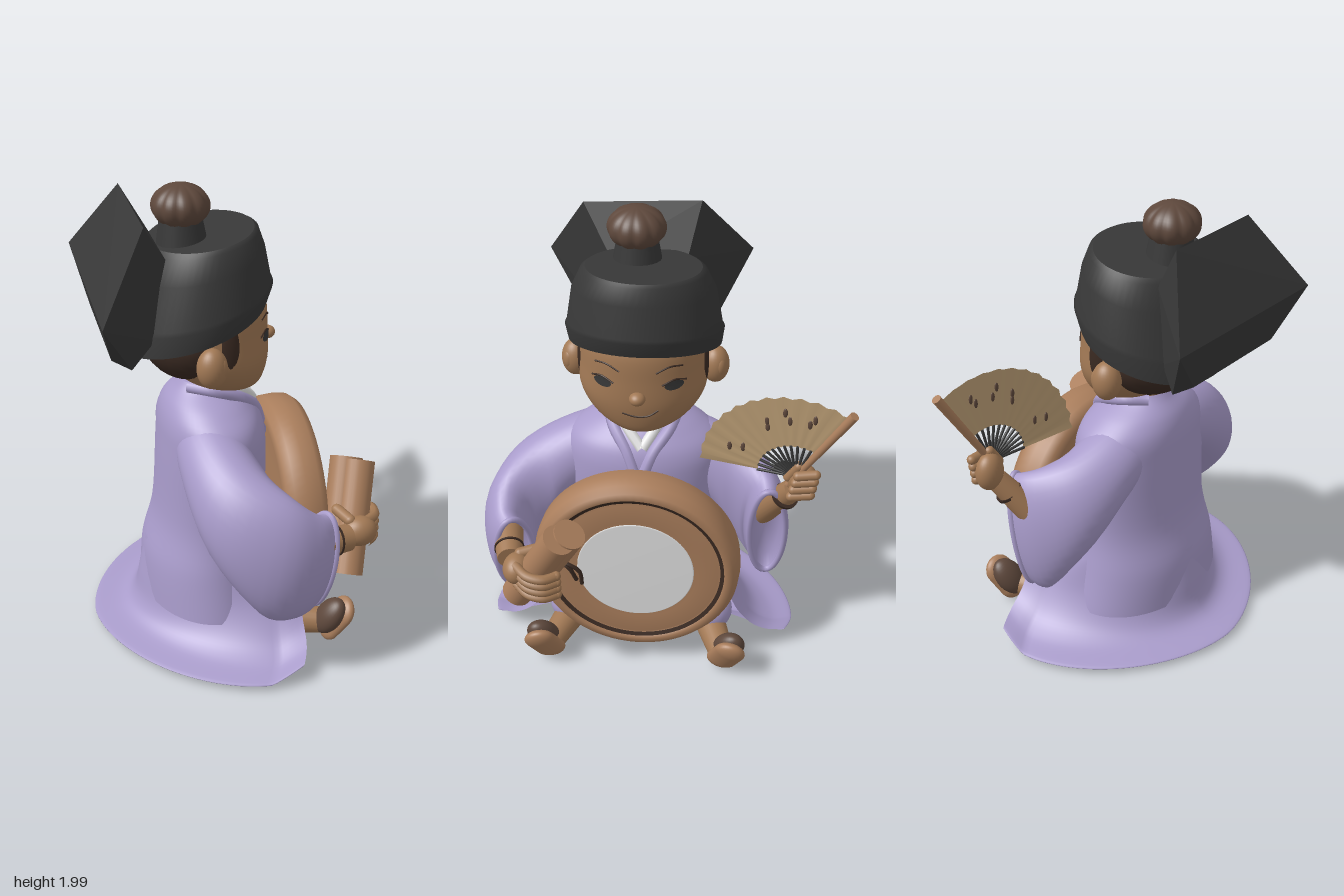
import * as THREE from 'three';
import { ConvexGeometry } from 'three/addons/geometries/ConvexGeometry.js';

const V = (x, y, z) => new THREE.Vector3(x, y, z);
const UP = V(0, 1, 0);
const ZC = 0.085; // middle of head, body and drum

export function createModel() {
  const model = new THREE.Group();
  const mat = (name, color, side = THREE.FrontSide) => {
    const m = new THREE.MeshStandardMaterial({ color, side });
    m.name = name;
    return m;
  };
  const robe = mat('lavender robe', 0xa99ccb, THREE.DoubleSide);
  const skin = mat('skin', 0xa27955);
  const wood = mat('wood', 0xaa7e5c);
  const black = mat('black cloth', 0x383838);
  const brown = mat('pompom brown', 0x5e483c);
  const dark = mat('dark brown', 0x3a2a22, THREE.DoubleSide);
  const white = mat('white', 0xe2e2e2);
  const paper = mat('fan paper', 0xbea077, THREE.DoubleSide);

  const add = (name, geo, material, parent = model) => {
    const m = new THREE.Mesh(geo, material);
    m.name = name;
    parent.add(m);
    return m;
  };
  const blob = (name, material, p, s, parent = model) => {
    const m = add(name, new THREE.SphereGeometry(1, 28, 20), material, parent);
    m.position.set(...p);
    m.scale.set(...s);
    return m;
  };
  // solid of revolution laid between two points
  const between = (name, material, a, b, make) => {
    const p = V(...a), q = V(...b), d = q.clone().sub(p);
    const m = add(name, make(d.length()), material);
    m.position.copy(p).lerp(q, 0.5);
    m.quaternion.setFromUnitVectors(UP, d.normalize());
    return m;
  };
  const rod = (name, material, a, b, ra, rb = ra) =>
    between(name, material, a, b, l => new THREE.CylinderGeometry(rb, ra, l, 24));
  const capsule = (name, material, a, b, r) =>
    between(name, material, a, b, l => new THREE.CapsuleGeometry(r, l, 8, 16));
  const tube = (name, material, pts, r, closed = false, n = 32) =>
    add(name, new THREE.TubeGeometry(new THREE.CatmullRomCurve3(pts, closed), n, r, 8, closed), material);

  // skin over rows of points
  const middle = row => row.reduce((s, p) => s.add(p), V(0, 0, 0)).divideScalar(row.length);
  const skinRows = (rows, closed = true, caps = false) => {
    const n = rows[0].length, pos = [], idx = [], last = (rows.length - 1) * n;
    rows.forEach(r => r.forEach(p => pos.push(p.x, p.y, p.z)));
    for (let i = 0; i < rows.length - 1; i++) for (let j = 0; j < (closed ? n : n - 1); j++) {
      const k = (j + 1) % n, a = i * n + j, b = i * n + k, c = a + n, d = b + n;
      idx.push(a, c, b, b, c, d);
    }
    if (caps) [0, rows.length - 1].forEach((r, e) => {
      const c = middle(rows[r]), o = pos.length / 3;
      pos.push(c.x, c.y, c.z);
      for (let j = 0; j < n; j++) {
        const a = e * last + j, b = e * last + (j + 1) % n;
        e ? idx.push(a, o, b) : idx.push(a, b, o);
      }
    });
    const g = new THREE.BufferGeometry();
    g.setAttribute('position', new THREE.Float32BufferAttribute(pos, 3));
    g.setIndex(idx);
    g.computeVertexNormals();
    return g;
  };
  // spline through rows of numbers
  const smooth = (rows, n) => {
    const cols = rows[0].map((_, c) => new THREE.SplineCurve(rows.map((r, i) => new THREE.Vector2(i, r[c]))));
    return Array.from({ length: n + 1 }, (_, i) => cols.map(c => c.getPoint(i / n).y));
  };
  // horizontal ellipse from [y, back x, front x, half width, tilt]
  const ring = ([y, x0, x1, rz, tilt = 0]) => Array.from({ length: 56 }, (_, j) => {
    const t = Math.PI * 2 * j / 56, dx = (x1 - x0) / 2 * Math.cos(t);
    return V((x0 + x1) / 2 + dx, y + tilt * dx, ZC + rz * Math.sin(t));
  });

  // robe body
  const bodyRows = smooth([[0.16, -0.37, 0.2, 0.41], [0.35, -0.36, 0.18, 0.37], [0.55, -0.31, 0.17, 0.34],
    [0.85, -0.29, 0.17, 0.35], [0.98, -0.28, 0.15, 0.33], [1.06, -0.255, 0.1, 0.24], [1.12, -0.21, 0.04, 0.13], [1.15, -0.19, 0.02, 0.1]], 40);
  add('robeBody', skinRows(bodyRows.map(ring)), robe);
  // skirt: folded hem narrowing to the back, open at the front where the edge lifts over the legs
  const bow = v => Math.sign(v) * Math.abs(v) ** 1.15;
  const skirt = smooth([[0.04, -0.28, 0.36, 0.4], [0.022, -0.5, 0.6, 0.62], [0.022, -0.56, 0.66, 0.67], [0.035, -0.582, 0.68, 0.692],
    [0.06, -0.46, 0.66, 0.6], [0.12, -0.405, 0.64, 0.51], [0.24, -0.38, 0.6, 0.43], [0.4, -0.35, 0.32, 0.36]], 42)
    .map(([y, x0, x1, rz]) => Array.from({ length: 64 }, (_, j) => {
      const t = 1.3 + (Math.PI * 2 - 2.6) * j / 63, c = Math.cos(t);
      return V((x0 + x1) / 2 + (x1 - x0) / 2 * bow(c), y + 0.2 * Math.max(0, c), ZC + rz * bow(Math.sin(t)));
    }));
  add('robeSkirt', skinRows(skirt, false), robe);
  blob('robeLap', robe, [0.08, 0.17, ZC], [0.2, 0.13, 0.38]);
  blob('trouserSeat', black, [-0.06, 0.135, ZC], [0.24, 0.105, 0.33]);

  // collar and neck
  rod('neck', skin, [-0.06, 1.02, ZC], [-0.05, 1.18, ZC], 0.1, 0.095);
  for (const s of [-1, 1]) {
    tube('innerCollar', white, [V(-0.06, 1.14, ZC + s * 0.11), V(0.05, 1.1, ZC + s * 0.07), V(0.125, 1.02, ZC - 0.01)], 0.024);
    tube('lapel', robe, [V(-0.17, 1.14, ZC + s * 0.08), V(-0.08, 1.14, ZC + s * 0.145), V(0.04, 1.09, ZC + s * 0.125),
      V(0.125, 1.0, ZC + s * 0.055), V(0.17, 0.86, ZC)], 0.026);
  }

  // legs and shoes
  for (const s of [-1, 1]) {
    const z = ZC + s * 0.41;
    capsule('trouserLeg', black, [-0.1, 0.13, ZC + s * 0.12], [0.12, 0.1, ZC + s * 0.29], 0.082);
    capsule('robeThigh', robe, [-0.08, 0.18, ZC + s * 0.16], [0.16, 0.16, ZC + s * 0.32], 0.1);
    rod('ankle', skin, [0.12, 0.1, ZC + s * 0.3], [0.37, 0.09, z - s * 0.025], 0.075, 0.055);
    const shoe = new THREE.Group();
    shoe.name = 'shoe';
    shoe.position.set(0.395, 0.118, z);
    shoe.rotation.set(s * 0.4, 0, -0.44);
    model.add(shoe);
    blob('shoeUpper', brown, [-0.03, 0.01, 0], [0.05, 0.1, 0.066], shoe);
    const sole = add('shoeSole', new THREE.CapsuleGeometry(0.069, 0.1, 10, 24), wood, shoe);
    sole.position.x = 0.015;
    sole.scale.set(0.5, 1, 1);
  }

  // sleeves from sections [x, y, z, half width, half height], with a hollow cuff
  const sleeve = (name, sections) => {
    const rows = smooth(sections, 24);
    const pts = rows.map(r => V(r[0], r[1], r[2]));
    const heading = i => pts[Math.min(i + 1, 24)].clone().sub(pts[Math.max(i - 1, 0)]).setY(0).normalize();
    const loops = rows.map((r, i) => {
      const t = heading(i), w = t.clone().cross(UP), u = V(0.18 * t.x, 1, 0);
      return Array.from({ length: 36 }, (_, j) => {
        const a = j / 36 * Math.PI * 2;
        return pts[i].clone().addScaledVector(w, r[3] * Math.cos(a)).addScaledVector(u, r[4] * Math.sin(a));
      });
    });
    tube(name + 'Hem', robe, loops[24], 0.014, true, 72);
    const inside = loops[24].map(p => p.clone().lerp(pts[24], 0.2).addScaledVector(heading(24), -0.06));
    add(name, skinRows([...loops, inside], true, true), robe);
  };
  sleeve('drumSideSleeve', [[-0.1, 0.96, 0.14, 0.13, 0.13], [-0.1, 0.86, 0.35, 0.15, 0.17], [-0.04, 0.71, 0.55, 0.17, 0.23],
    [0.08, 0.58, 0.66, 0.13, 0.27], [0.2, 0.52, 0.665, 0.1, 0.24], [0.27, 0.52, 0.63, 0.085, 0.21]]);
  sleeve('fanSideSleeve', [[-0.1, 0.96, 0.03, 0.13, 0.13], [-0.09, 0.87, -0.17, 0.15, 0.17], [-0.05, 0.74, -0.34, 0.15, 0.23],
    [0.04, 0.63, -0.45, 0.11, 0.28], [0.13, 0.61, -0.475, 0.08, 0.26]]);

  // drum, turned about the x axis
  const turned = (name, pts, material) => {
    const m = add(name, new THREE.LatheGeometry(pts.map(p => new THREE.Vector2(...p)), 72), material);
    m.rotation.z = -Math.PI / 2;
    m.position.set(0, 0.525, ZC);
    return m;
  };
  turned('drumShell', [[0, 0.185], [0.36, 0.185], [0.39, 0.17], [0.425, 0.18], [0.448, 0.21], [0.453, 0.265], [0.448, 0.32],
    [0.425, 0.352], [0.395, 0.358], [0.385, 0.345], [0.37, 0.335], [0.36, 0.345], [0.27, 0.345], [0.25, 0.338], [0, 0.338]], wood);
  turned('drumGroove', [[0.387, 0.349], [0.37, 0.342]], dark);
  turned('drumSkin', [[0.255, 0.343], [0.25, 0.347], [0, 0.347]], white);

  // head
  const headRows = smooth([[1.1, -0.02, 0.1, 0.05], [1.125, -0.1, 0.142, 0.13], [1.18, -0.2, 0.165, 0.215], [1.27, -0.27, 0.18, 0.268],
    [1.38, -0.3, 0.178, 0.27], [1.5, -0.3, 0.168, 0.26], [1.6, -0.28, 0.12, 0.22]], 40);
  add('head', skinRows(headRows.map(ring), true, true), skin);
  const onFace = (y, z, lift) => {
    const i = headRows.findIndex(r => r[0] >= y), a = headRows[i - 1], b = headRows[i], f = (y - a[0]) / (b[0] - a[0]);
    const [, x0, x1, rz] = a.map((v, c) => v + (b[c] - v) * f);
    return V((x0 + x1) / 2 + (x1 - x0) / 2 * Math.sqrt(Math.max(0, 1 - ((z - ZC) / rz) ** 2)) + lift, y, z);
  };
  for (const s of [-1, 1]) {
    const at = (y, dz, lift) => onFace(y, ZC + s * dz, lift);
    // eye as a thin face following the cheek
    const eye = new THREE.CircleGeometry(1, 24), p = eye.attributes.position;
    for (let i = 0; i < p.count; i++) {
      const q = onFace(1.37 + 0.022 * p.getY(i), ZC + s * 0.148 - 0.038 * p.getX(i), 0.005);
      p.setXYZ(i, q.x, q.y, q.z);
    }
    eye.computeVertexNormals();
    add('eye', eye, black);
    tube('eyelid', dark, [at(1.375, 0.1, 0.002), at(1.394, 0.15, 0.002), at(1.38, 0.195, 0.002)], 0.004);
    tube('eyebrow', dark, [at(1.435, 0.075, 0), at(1.457, 0.13, 0), at(1.45, 0.18, 0)], 0.004);
    blob('ear', skin, [-0.12, 1.315, ZC + s * 0.3], [0.063, 0.085, 0.06]);
    blob('earHollow', skin, [-0.095, 1.32, ZC + s * 0.32], [0.035, 0.05, 0.03]);
    blob('sideburn', dark, [-0.04, 1.37, ZC + s * 0.258], [0.042, 0.11, 0.019]);
  }
  blob('nose', skin, [0.187, 1.32, ZC], [0.034, 0.028, 0.034]);
  tube('mouth', dark, [[1.235, 0.15], [1.222, 0.09], [1.228, 0.04], [1.255, 0]].map(([y, z]) => onFace(y, z, 0)), 0.004);
  blob('hair', dark, [-0.165, 1.36, ZC], [0.19, 0.185, 0.273]);

  // hat: tilted band, crown and folded back wing
  const band = [[1.415, -0.44, 0.17, 0.325, 0.31], [1.415, -0.44, 0.17, 0.325, 0.31], [1.5, -0.43, 0.195, 0.335, 0.27],
    [1.515, -0.42, 0.187, 0.327, 0.27], [1.68, -0.37, 0.16, 0.3, 0.2], [1.77, -0.33, 0.135, 0.26, 0.15],
    [1.785, -0.31, 0.118, 0.24, 0.14], [1.785, -0.31, 0.118, 0.24, 0.14]];
  add('hatCrown', skinRows(band.map(ring), true, true), black);
  const wing = [[-0.39, 1.94, -0.13], [-0.38, 1.915, 0.37], [-0.575, 1.63, -0.345], [-0.575, 1.59, 0.555], [-0.52, 1.41, -0.17],
    [-0.52, 1.39, 0.38], [-0.44, 1.36, -0.2], [-0.44, 1.34, 0.38], [-0.33, 1.42, -0.12], [-0.33, 1.42, 0.3], [-0.27, 1.73, -0.08], [-0.27, 1.73, 0.25]];
  add('hatWing', new ConvexGeometry(wing.map(p => V(...p))), black);
  rod('pompomStem', black, [-0.18, 1.72, 0.12], [-0.185, 1.87, 0.12], 0.11, 0.085);
  const pom = new THREE.SphereGeometry(1, 80, 24), pp = pom.attributes.position;
  for (let i = 0; i < pp.count; i++) {
    const k = 1 - 0.06 * Math.abs(Math.cos(5 * Math.atan2(pp.getZ(i), pp.getX(i)))) ** 4;
    pp.setXYZ(i, pp.getX(i) * k, pp.getY(i), pp.getZ(i) * k);
  }
  pom.computeVertexNormals();
  const pompom = add('pompom', pom, brown);
  pompom.position.set(-0.185, 1.912, 0.122);
  pompom.scale.set(0.119, 0.088, 0.123);

  // fan: polar position on its leaning plane
  const fanAt = (r, a, lift = 0) => {
    const u = r * Math.cos(a), v = r * Math.sin(a);
    return V(0.2 + 0.22 * u + 0.06 * v + lift, 0.98 + v, -0.58 - u);
  };
  const A0 = Math.PI / 3, A1 = Math.PI, folds = 24;
  const arc = r => Array.from({ length: folds + 1 }, (_, i) =>
    fanAt(r - (r > 0.3 && i % 2 ? 0.008 : 0), A0 + (A1 - A0) * i / folds, i % 2 ? 0.003 : -0.003));
  add('fanPaper', skinRows([arc(0.16), arc(0.41)], false), paper);
  for (let i = 0; i <= 12; i++) {
    const a = A0 + (A1 - A0) * i / 12;
    rod('fanRib', black, fanAt(0, a).toArray(), fanAt(0.163, a).toArray(), 0.006);
  }
  rod('fanGuard', wood, fanAt(-0.06, A0).toArray(), fanAt(0.43, A0).toArray(), 0.014, 0.02);
  for (const [r, a] of [[0.32, 1.37], [0.29, 1.42], [0.29, 1.7], [0.33, 1.75], [0.3, 2.02], [0.27, 2.06], [0.25, 2.7], [0.3, 2.8]]) {
    blob('fanMotif', brown, fanAt(r, a).toArray(), [0.006, 0.022, 0.01]);
  }

  // fan arm and fist
  rod('fanForearm', skin, [0.0, 0.62, -0.43], [0.18, 0.9, -0.58], 0.07, 0.047);
  rod('fanBracelet', dark, [0.142, 0.823, -0.54], [0.147, 0.834, -0.545], 0.06);
  blob('fanPalm', skin, [0.185, 0.95, -0.61], [0.055, 0.085, 0.065]);
  for (let i = 0; i < 4; i++) {
    const y = 0.9 + i * 0.036;
    capsule('fanFinger', skin, [0.235, y, -0.565 - i * 0.008], [0.23, y + 0.008, -0.645 - i * 0.006], 0.021);
  }
  capsule('fanThumb', skin, [0.19, 0.97, -0.55], [0.2, 1.035, -0.59], 0.022);

  // paired wooden clappers and the hand around them
  for (const s of [-1, 1]) {
    const o = s * 0.02;
    rod('clapper', wood, [0.385 + o, 0.41, 0.58 + o], [0.495 + o, 0.82, 0.36 + o], 0.068, 0.07);
  }
  tube('clapperCord', dark, [V(0.38, 0.6, 0.46), V(0.42, 0.61, 0.38), V(0.42, 0.57, 0.32), V(0.41, 0.49, 0.31)], 0.009);
  tube('clapperCord', dark, [V(0.38, 0.6, 0.46), V(0.41, 0.58, 0.37), V(0.4, 0.5, 0.335)], 0.009);
  rod('clapperForearm', skin, [0.16, 0.62, 0.68], [0.4, 0.6, 0.62], 0.075, 0.055);
  rod('clapperBracelet', dark, [0.335, 0.606, 0.636], [0.343, 0.605, 0.634], 0.065);
  blob('clapperPalm', skin, [0.46, 0.6, 0.58], [0.075, 0.065, 0.06]);
  for (let i = 0; i < 4; i++) {
    const y = 0.53 + i * 0.034;
    tube('clapperFinger', skin, [V(0.49, y + 0.01, 0.58), V(0.545, y, 0.52), V(0.555, y - 0.005, 0.45), V(0.52, y - 0.01, 0.4)], 0.021, false, 16);
    blob('clapperFingertip', skin, [0.52, y - 0.01, 0.4], [0.021, 0.021, 0.021]);
  }
  capsule('clapperThumb', skin, [0.42, 0.65, 0.57], [0.39, 0.66, 0.49], 0.024);
  return model;
}
